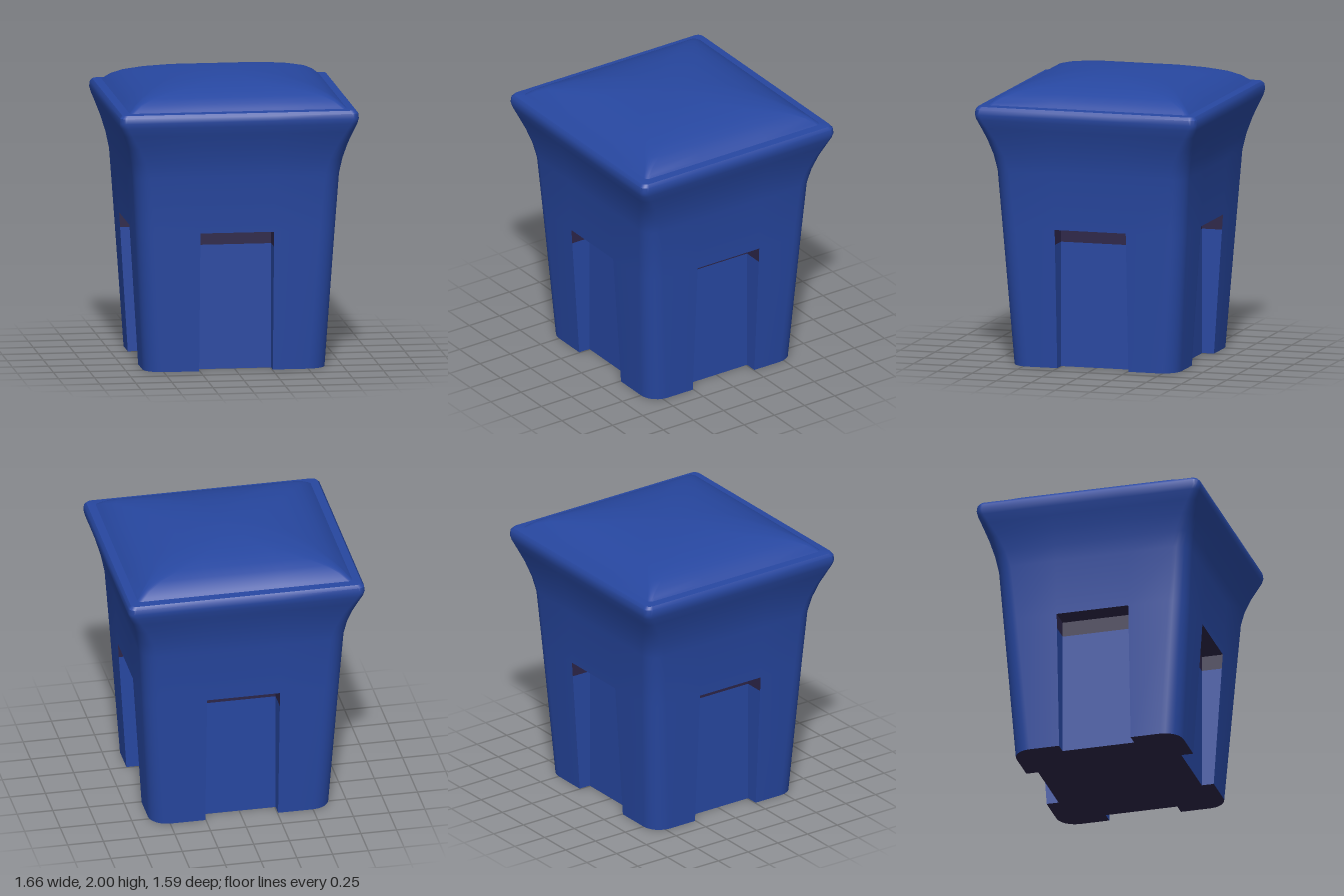
import * as THREE from 'three';
import { toCreasedNormals } from 'three/addons/utils/BufferGeometryUtils.js';

const ARC = 6; // segments per rounded corner
const SIDE = ARC + 3; // points per side of a ring
const RECESS_TOP = 0.97, BAND_BOTTOM = 0.865, RECESS_HALF = 0.255;

// Rounded rectangle in the xz plane: two points on each side, then a corner arc
function ring([y, hx, hz, r]) {
  const points = [];
  for (let k = 0; k < 4; k++) {
    const a = k * Math.PI / 2, c = Math.round(Math.cos(a)), s = Math.round(Math.sin(a));
    const out = k % 2 ? hz : hx, along = k % 2 ? hx : hz;
    const n = Math.min(RECESS_HALF, along - r);
    const add = (u, v) => points.push(new THREE.Vector3(c * u - s * v, y, s * u + c * v));
    add(out, -n);
    add(out, n);
    for (let i = 0; i <= ARC; i++) {
      const t = i / ARC * Math.PI / 2;
      add(out - r + r * Math.cos(t), along - r + r * Math.sin(t));
    }
  }
  return points;
}

function quad(list, aLow, bLow, bUp, aUp) {
  list.push(aLow, aUp, bLow, bLow, aUp, bUp);
}

function loft(list, rings, skip = () => false) {
  for (let j = 0; j + 1 < rings.length; j++) {
    const lo = rings[j], up = rings[j + 1];
    for (let i = 0; i < lo.length; i++) {
      const n = (i + 1) % lo.length;
      if (!skip(j, i)) quad(list, lo[i], lo[n], up[n], up[i]);
    }
  }
}

function makeMesh(name, list, material, crease = 0.6) {
  const geometry = toCreasedNormals(new THREE.BufferGeometry().setFromPoints(list), crease);
  const mesh = new THREE.Mesh(geometry, material);
  mesh.name = name;
  return mesh;
}

export function createModel() {
  const blue = new THREE.MeshStandardMaterial({ color: 0x2747a0 });
  blue.name = 'blue';
  const dark = new THREE.MeshStandardMaterial({ color: 0x2c2548 });
  dark.name = 'dark purple';
  const group = new THREE.Group();

  // Tapered body flaring into a rounded rim: height, half width, half depth, corner radius
  const bodyRings = [
    [0, 0.63, 0.595, 0.13], [RECESS_TOP, 0.69, 0.66, 0.12], [1.36, 0.715, 0.685, 0.11],
    [1.47, 0.735, 0.705, 0.1], [1.58, 0.765, 0.735, 0.08], [1.67, 0.797, 0.767, 0.06],
    [1.73, 0.82, 0.79, 0.05], [1.765, 0.828, 0.797, 0.045], [1.8, 0.824, 0.793, 0.045],
    [1.82, 0.808, 0.777, 0.04], [1.825, 0.75, 0.72, 0.03],
  ].map(ring);
  const body = [];
  loft(body, bodyRings, (j, i) => j === 0 && i % SIDE === 0);
  group.add(makeMesh('body', body, blue));

  // Domed lid whose square outline softens towards the crown
  const lid = [];
  loft(lid, [
    [1.822, 0.755, 0.725, 0.03], [1.84, 0.735, 0.705, 0.035], [1.87, 0.7, 0.67, 0.04],
    [1.905, 0.64, 0.61, 0.07], [1.935, 0.56, 0.535, 0.13], [1.96, 0.46, 0.44, 0.18],
    [1.98, 0.34, 0.325, 0.2], [1.994, 0.2, 0.19, 0.15], [2, 0, 0, 0],
  ].map(ring));
  group.add(makeMesh('lid', lid, blue));

  // Recess in each side: upright back wall, reveals, dark band and ceiling
  const walls = [], shade = [], outline = [];
  const at = (p, q, y) => p.clone().lerp(q, y / RECESS_TOP);
  for (let k = 0; k < 4; k++) {
    const [lo, up] = bodyRings, i = k * SIDE;
    const inner = (p, y) => {
      const v = p.clone().setY(y);
      if (k % 2) v.z = Math.sign(p.z) * 0.51;
      else v.x = Math.sign(p.x) * 0.54;
      return v;
    };
    const heights = [0, BAND_BOTTOM, RECESS_TOP];
    const A = heights.map(y => at(lo[i], up[i], y));
    const B = heights.map(y => at(lo[i + 1], up[i + 1], y));
    const a = A.map(p => inner(p, p.y)), b = B.map(p => inner(p, p.y));
    [walls, shade].forEach((list, j) => {
      quad(list, a[j], b[j], b[j + 1], a[j + 1]);
      quad(list, A[j], a[j], a[j + 1], A[j + 1]);
      quad(list, b[j], B[j], B[j + 1], b[j + 1]);
    });
    quad(shade, a[2], b[2], B[2], A[2]);
    outline.push(A[0], a[0], b[0], B[0], ...lo.slice(i + 2, i + SIDE));
  }
  group.add(makeMesh('recessWalls', walls, blue));
  group.add(makeMesh('recessTops', shade, dark));

  // Flat underside with the four notches
  const flat = outline.map(p => new THREE.Vector2(p.x, p.z));
  const base = THREE.ShapeUtils.triangulateShape(flat, []).flat().map(i => outline[i]);
  group.add(makeMesh('underside', base, dark));
  return group;
}
